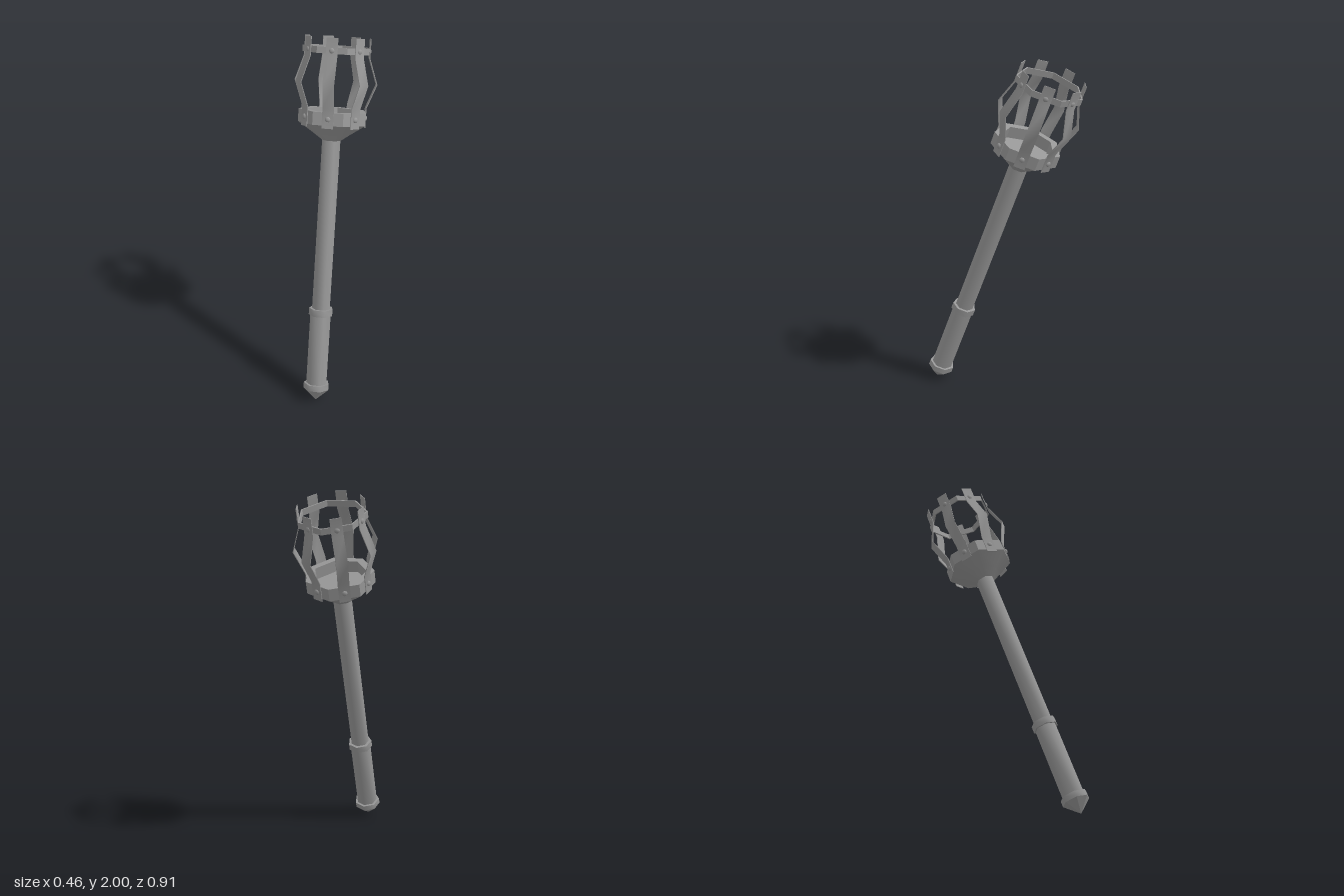
import * as THREE from 'three';
import { toCreasedNormals } from 'three/addons/utils/BufferGeometryUtils.js';

const SIDES = 7;
const STEP = (Math.PI * 2) / SIDES;
const FACETED = 0.1; // crease angles in radians
const ROUNDED = 1.05;

export function createModel() {
  const metal = new THREE.MeshStandardMaterial({ color: 0x969696 });

  const model = new THREE.Group();
  model.name = 'torch';

  // Everything is built upright on the y axis, then leaned back
  const body = new THREE.Group();
  body.name = 'leaningTorch';
  body.rotation.x = THREE.MathUtils.degToRad(-20);
  body.position.z = 0.41;
  model.add(body);

  // Seven-sided turned part with one flat facing the front; profile is [radius, height]
  const turned = (name, crease, profile) => {
    const points = profile.map(([r, y]) => new THREE.Vector2(r, y));
    const lathe = new THREE.LatheGeometry(points, SIDES, STEP / 2);
    const mesh = new THREE.Mesh(toCreasedNormals(lathe, crease), metal);
    mesh.name = name;
    body.add(mesh);
  };

  // Handle
  turned('pommelTip', FACETED, [[0, 0], [0.074, 0.07]]);
  turned('pommelRing', ROUNDED, [[0.074, 0.07], [0.074, 0.103], [0.058, 0.103]]);
  turned('grip', ROUNDED, [[0.06, 0.09], [0.06, 0.53]]);
  turned('gripRing', ROUNDED, [[0.055, 0.51], [0.069, 0.51], [0.069, 0.548], [0.05, 0.548]]);
  turned('shaft', ROUNDED, [[0.052, 0.53], [0.052, 1.515]]);

  // Flared neck under a faceted cup with a shallow recess
  turned('neck', ROUNDED, [[0.052, 1.505], [0.105, 1.543], [0.19, 1.6]]);
  turned('cup', FACETED, [[0.19, 1.6], [0.19, 1.67], [0.148, 1.67], [0.148, 1.605], [0, 1.605]]);

  // Hoop tying the straps together near the top
  turned('hoop', FACETED, [[0.179, 1.978], [0.187, 1.978], [0.187, 2.012], [0.179, 2.012], [0.179, 1.978]]);

  // Bent strap: rows of a thin box moved onto a [radius, height] path, top first
  const path = [[0.177, 2.062], [0.177, 1.96], [0.225, 1.82], [0.175, 1.69], [0.175, 1.585]];
  const rows = path.length - 1;
  const bent = new THREE.BoxGeometry(0.062, 1, 0.004, 1, rows, 1);
  const pos = bent.attributes.position;
  for (let i = 0; i < pos.count; i++) {
    const [r, y] = path[Math.round((0.5 - pos.getY(i)) * rows)];
    pos.setXYZ(i, pos.getX(i), y, r + pos.getZ(i));
  }
  const strapGeometry = toCreasedNormals(bent, ROUNDED);

  // Low domed rivet head pointing outwards along z
  const rivetGeometry = new THREE.SphereGeometry(0.015, 10, 4, 0, Math.PI * 2, 0, Math.PI / 2)
    .scale(1, 0.6, 1)
    .rotateX(Math.PI / 2);

  // One strap with two rivets on each flat
  for (let i = 0; i < SIDES; i++) {
    const bar = new THREE.Group();
    bar.name = 'cageBar';
    bar.rotation.y = i * STEP;
    const strap = new THREE.Mesh(strapGeometry, metal);
    strap.name = 'strap';
    bar.add(strap);
    for (const y of [1.635, 1.995]) {
      const rivet = new THREE.Mesh(rivetGeometry, metal);
      rivet.name = 'rivet';
      rivet.position.set(0, y, 0.177);
      bar.add(rivet);
    }
    body.add(bar);
  }

  return model;
}
